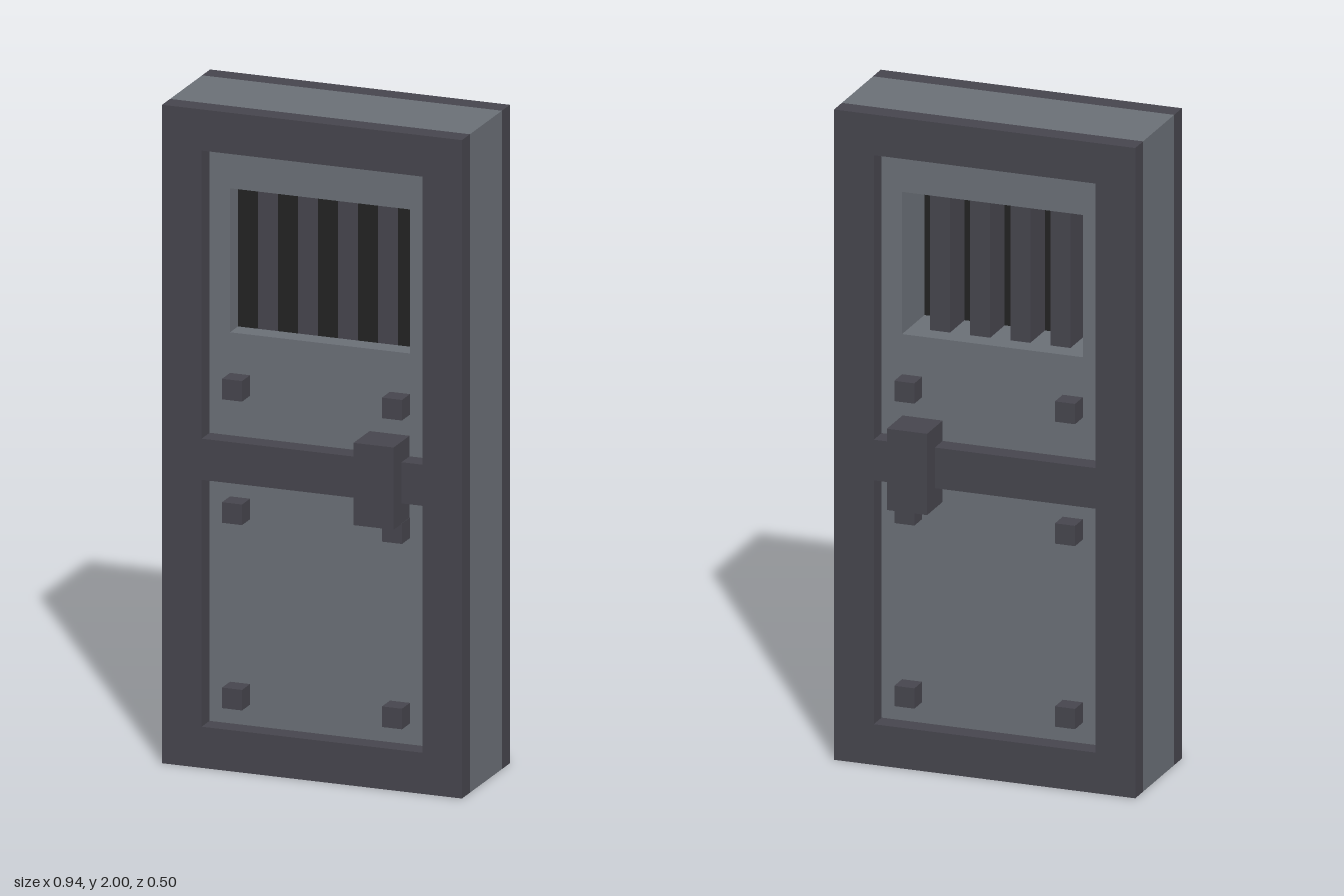
import * as THREE from 'three';

const mat = (name, color) => {
  const m = new THREE.MeshStandardMaterial({ color });
  m.name = name;
  return m;
};

const W = 0.9375, H = 2, U = 0.0625; // width, height and the block unit

// Rectangle outline given by its edges
function rect(Type, x0, x1, y0, y1) {
  const p = new Type();
  p.moveTo(x0, y0);
  p.lineTo(x1, y0);
  p.lineTo(x1, y1);
  p.lineTo(x0, y1);
  p.closePath();
  return p;
}

// Full-size slab with rectangular openings, from z0 forward by depth
function slab(openings, depth, z0) {
  const shape = rect(THREE.Shape, -W / 2, W / 2, 0, H);
  openings.forEach((o) => shape.holes.push(rect(THREE.Path, ...o)));
  const g = new THREE.ExtrudeGeometry(shape, { depth, bevelEnabled: false });
  return g.translate(0, 0, z0);
}

export function createModel() {
  const model = new THREE.Group();
  model.name = 'barredDoor';
  const darkMetal = mat('darkMetal', 0x46454d);
  const greyMetal = mat('greyMetal', 0x6a6f76);
  const black = mat('blackGap', 0x222222);

  const add = (name, geometry, material, x = 0, y = 0, z = 0) => {
    const mesh = new THREE.Mesh(geometry, material);
    mesh.name = name;
    mesh.position.set(x, y, z);
    model.add(mesh);
  };

  // Core panel with the window opening
  const [wx, wy0, wy1] = [0.2813, 1.3125, 1.75];
  add('panel', slab([[-wx, wx, wy0, wy1]], 4 * U, -2 * U), greyMetal);

  // Raised frame with crossbar, on both faces
  const openings = [[-0.345, 0.345, 0.125, 0.875], [-0.345, 0.345, 1, 1.875]];
  add('frontFrame', slab(openings, U, 2 * U), darkMetal);
  add('backFrame', slab(openings, U, -3 * U), darkMetal);

  // Window bars, with dark plates filling the gaps at the front
  const wh = wy1 - wy0, wy = (wy0 + wy1) / 2;
  const bar = new THREE.BoxGeometry(U, wh, 2 * U);
  const plate = new THREE.BoxGeometry(U, wh, 0.008);
  for (let i = 0; i < 9; i++) {
    const x = (i - 4) * U;
    if (i % 2) add('windowBar', bar, darkMetal, x, wy, 0);
    else add('windowGap', plate, black, x, wy, U - 0.004);
  }

  // Bolts and handles on both faces
  const bolt = new THREE.BoxGeometry(U, U, U);
  const handle = new THREE.BoxGeometry(2 * U, 4 * U, 2 * U);
  for (const side of [1, -1]) {
    for (const x of [-0.25, 0.25]) {
      for (const y of [0.22, 0.783, 1.158]) add('bolt', bolt, darkMetal, x, y, side * 2.5 * U);
    }
    add('handle', handle, darkMetal, 0.2175, 0.9375, side * 3 * U);
  }
  return model;
}
